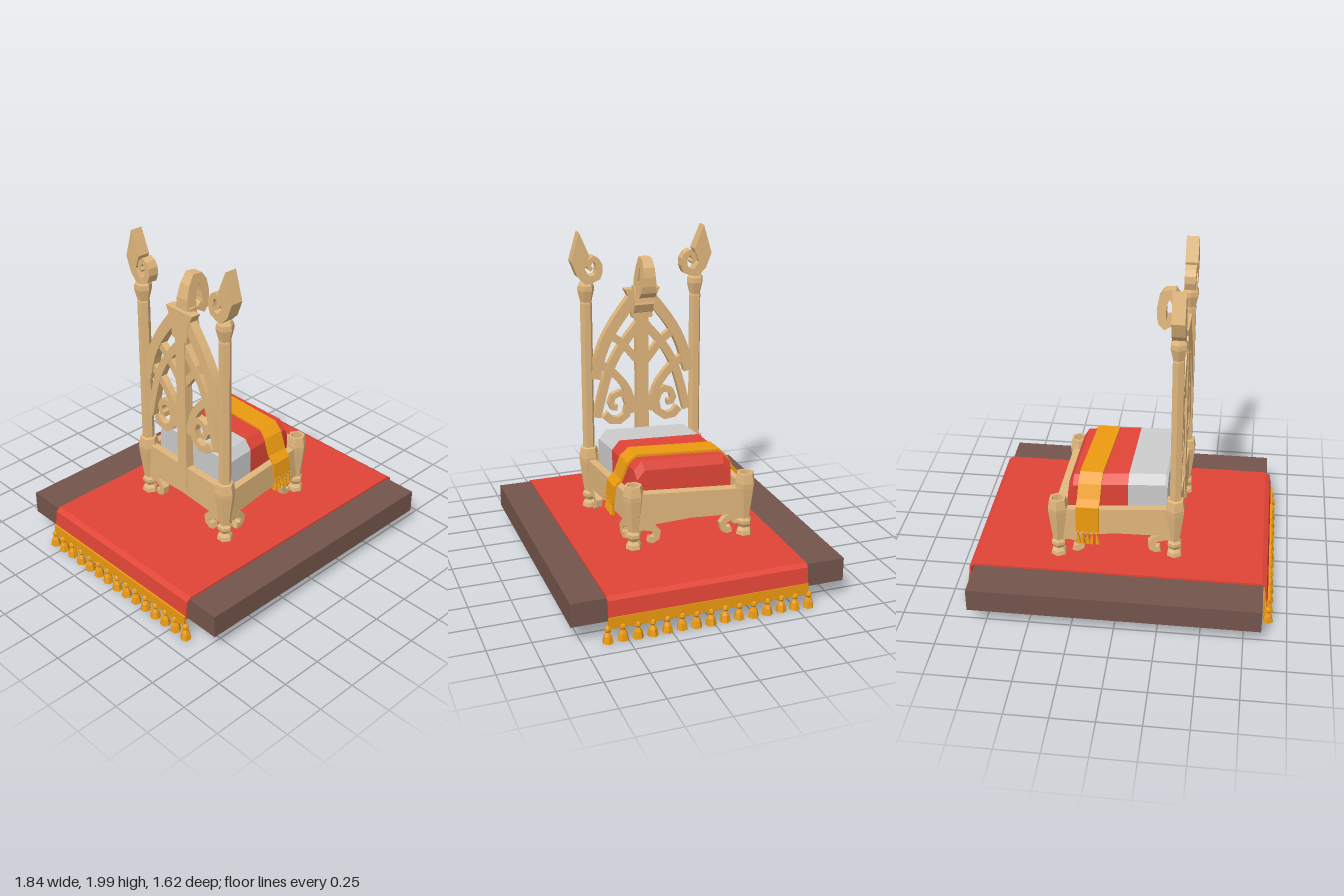
import * as THREE from 'three';

const mat = (color) => new THREE.MeshStandardMaterial({ color, flatShading: true, side: THREE.DoubleSide });
const wood = mat(0xe0b67c), red = mat(0xe04436), gold = mat(0xeb9a10), brown = mat(0x73544a), grey = mat(0xcccccc);

function add(parent, name, geo, material, x = 0, y = 0, z = 0) {
  const m = new THREE.Mesh(geo, material);
  m.name = name;
  m.position.set(x, y, z);
  parent.add(m);
  return m;
}

// flat plate with the given outline, centred on its depth
function plate(points, depth) {
  const s = new THREE.Shape(points.map(([x, y]) => new THREE.Vector2(x, y)));
  return new THREE.ExtrudeGeometry(s, { depth, bevelEnabled: false }).translate(0, 0, -depth / 2);
}

// band of even or tapering width along a smooth or straight path
function ribbon(path, w0, w1, depth, steps = 10) {
  let pts = path.map(([x, y]) => new THREE.Vector2(x, y));
  if (steps) pts = new THREE.SplineCurve(pts).getPoints(steps);
  const a = [], b = [];
  pts.forEach((p, i) => {
    const d = pts[Math.min(i + 1, pts.length - 1)].clone().sub(pts[Math.max(i - 1, 0)]).normalize();
    const w = THREE.MathUtils.lerp(w0, w1, i / (pts.length - 1)) / 2;
    a.push([p.x - d.y * w, p.y + d.x * w]);
    b.unshift([p.x + d.y * w, p.y - d.x * w]);
  });
  return plate([...a, ...b], depth);
}

const lathe = (profile, sides) =>
  new THREE.LatheGeometry(profile.map(([r, y]) => new THREE.Vector2(r, y)), sides);

// group whose local x runs from one floor point to another
function frame(parent, name, [x0, z0], [x1, z1]) {
  const g = new THREE.Group();
  g.name = name;
  g.position.set(x0, 0, z0);
  g.rotation.y = Math.atan2(z0 - z1, x1 - x0);
  g.userData.span = Math.hypot(x1 - x0, z1 - z0);
  parent.add(g);
  return g;
}

// block lofted along x: stations of [x, centre z, half width, top y, bottom y]
function loft(stations) {
  const pos = [], idx = [], n = 6;
  for (const [x, c, h, t, b] of stations) {
    for (const [z, y] of [[-h, b], [-h, t - 0.05], [-h + 0.045, t + 0.0], [h - 0.045, t + 0.015], [h, t - 0.04], [h, b]])
      pos.push(x - (z + c) * 0.04, y, z + c);
  }
  const rows = stations.length;
  for (let r = 0; r < rows - 1; r++)
    for (let i = 0; i < n; i++) {
      const a = r * n + i, b = r * n + (i + 1) % n;
      idx.push(a, b, a + n, b, b + n, a + n);
    }
  for (let i = 1; i < n - 1; i++) {
    idx.push(0, i + 1, i);
    const e = (rows - 1) * n;
    idx.push(e, e + i, e + i + 1);
  }
  const g = new THREE.BufferGeometry();
  g.setAttribute('position', new THREE.Float32BufferAttribute(pos, 3));
  g.setIndex(idx);
  g.computeVertexNormals();
  return g;
}

function buildCarpet(root) {
  add(root, 'platform', new THREE.BoxGeometry(1.7, 0.14, 1.62), brown, 0, 0.187, 0);
  const over = [[-0.878, 0.14], [-0.865, 0.25], [-0.84, 0.264], [0.85, 0.264], [0.872, 0.25], [0.885, 0.14]];
  add(root, 'carpet', ribbon(over, 0.012, 0.012, 1.18, 0), red, 0, 0, 0.02);
  for (const s of [-1, 1]) {
    add(root, 'carpetBorder', new THREE.BoxGeometry(0.018, 0.068, 1.18), gold, s * 0.884, 0.125, 0.02);
    for (let i = 0; i < 15; i++) {
      const z = -0.575 + i * 0.085;
      const t = add(root, 'tassel',
        lathe([[0, 0.1], [0.016, 0.09], [0.02, 0.075], [0.012, 0.062], [0.024, 0.04], [0.033, 0], [0, 0.004]], 6),
        gold, s * 0.888, 0.01 + 0.006 * Math.sin(i * 2.3) ** 2, z);
      t.rotation.y = i * 1.3;
    }
  }
}

function buildHeadboard(bed, a, b) {
  const g = frame(bed, 'headboard', a, b), mid = g.userData.span / 2;
  const inner = new THREE.Group();
  inner.name = 'tracery';
  inner.position.x = mid;
  g.add(inner);
  add(inner, 'centrePost', new THREE.BoxGeometry(0.075, 1.12, 0.055), wood, 0, 1.02, 0);
  add(inner, 'archPeak', plate([[-0.06, 1.46], [-0.075, 1.57], [-0.11, 1.64], [0.11, 1.64], [0.075, 1.57], [0.06, 1.46]], 0.06), wood);
  for (const s of [-1, 1]) {
    const m = (pts) => pts.map(([x, y]) => [x * s, y]);
    const strip = (name, pts, w0, w1, d) => add(inner, name, ribbon(m(pts), w0, w1, d), wood);
    strip('outerArch', [[0.3, 1.1], [0.25, 1.28], [0.17, 1.43], [0.04, 1.6]], 0.06, 0.07, 0.055);
    strip('upperBrace', [[0.21, 1.37], [0.12, 1.3], [0.02, 1.18]], 0.045, 0.045, 0.04);
    strip('innerArch', [[0.02, 1.42], [0.14, 1.27], [0.22, 1.11], [0.29, 0.85]], 0.05, 0.05, 0.045);
    strip('lowerArch', [[0.32, 1.22], [0.2, 1.14], [0.1, 1.02], [0.05, 0.86]], 0.05, 0.045, 0.04);
    strip('scroll', [[0.24, 0.86], [0.18, 0.81], [0.105, 0.84], [0.09, 0.93], [0.13, 0.99], [0.19, 0.97], [0.2, 0.91], [0.16, 0.9]].reverse(), 0.035, 0.05, 0.04);
    // flame finials above the posts
    add(inner, 'finialLeaf', plate(m([[0.35, 1.69], [0.4, 1.74], [0.435, 1.83], [0.385, 2], [0.325, 1.86], [0.355, 1.78], [0.3, 1.7]]), 0.075), wood);
    add(inner, 'finialCurl', ribbon(m([[0.34, 1.715], [0.275, 1.73], [0.265, 1.8], [0.3, 1.84], [0.33, 1.8], [0.31, 1.775]]), 0.045, 0.025, 0.065), wood);
  }
  // crest scroll curling forward, narrower toward the top
  const crest = ribbon([[-0.29, 1.56], [-0.295, 1.7], [-0.25, 1.82], [-0.2, 1.78], [-0.19, 1.68], [-0.21, 1.625], [-0.245, 1.66]], 0.07, 0.04, 2, 12);
  const p = crest.attributes.position;
  for (let i = 0; i < p.count; i++) p.setZ(i, p.getZ(i) * (0.055 - (p.getY(i) - 1.56) * 0.085));
  crest.computeVertexNormals();
  add(bed, 'crestScroll', crest, wood, 0, 0, 0.008);
  add(bed, 'crestKeystone', plate([[-0.32, 1.48], [-0.28, 1.5], [-0.255, 1.55], [-0.28, 1.66], [-0.32, 1.66]], 0.12), wood, 0, 0, 0.008);
}

function buildBed(root) {
  const bed = new THREE.Group();
  bed.name = 'bed';
  root.add(bed);
  const headR = [-0.315, -0.335], headL = [-0.33, 0.35], footR = [0.37, -0.395], footL = [0.34, 0.285];
  const foot = [[0, 0.262], [0.05, 0.265], [0.045, 0.295], [0.03, 0.315], [0.045, 0.34], [0.045, 0.36], [0.034, 0.375]];
  const legTop = [[0.06, 0.57], [0.062, 0.6], [0.052, 0.66]];
  // head posts and foot posts
  for (const [x, z] of [headR, headL])
    add(bed, 'headPost', lathe([...foot, ...legTop, [0.037, 0.665], [0.037, 1.57], [0.034, 1.58], [0.052, 1.65], [0.05, 1.68], [0.038, 1.7], [0, 1.7]], 6), wood, x, 0, z);
  for (const [x, z] of [footR, footL])
    add(bed, 'footPost', lathe([...foot, ...legTop, [0.036, 0.66], [0.034, 0.62], [0, 0.62]], 6), wood, x, 0, z);

  // rails between the posts, with curled brackets below
  const sides = [
    ['rightRail', headR, footR, 0.6, 0.59], ['leftRail', headL, footL, 0.59, 0.59],
    ['footBoard', footR, footL, 0.57, 0.61], ['headRail', headR, headL, 0.62, 0.62]];
  for (const [name, a, b, ya, yb] of sides) {
    const g = frame(bed, name, a, b), L = g.userData.span;
    add(g, 'board', plate([[0, 0.41], [L * 0.5, 0.425], [L, 0.405], [L, yb], [0, ya]], name === 'footBoard' ? 0.06 : 0.045), wood);
    for (const flip of [false, true]) {
      const pts = [[0.01, 0.4], [0.09, 0.395], [0.14, 0.355], [0.125, 0.31], [0.085, 0.315]];
      add(g, 'bracket', ribbon(pts.map(([x, y]) => [flip ? L - x : x, y]), 0.045, 0.035, 0.04, 6), wood);
    }
  }
  buildHeadboard(bed, headR, headL);

  // mattress with pale head end and red cover
  add(bed, 'sheet', loft([[-0.275, 0.01, 0.29, 0.755, 0.45], [-0.26, 0.01, 0.292, 0.765, 0.45], [-0.045, -0.01, 0.292, 0.768, 0.45]]), grey);
  add(bed, 'cover', loft([[-0.045, -0.01, 0.295, 0.77, 0.45], [0.2, -0.03, 0.295, 0.76, 0.45], [0.275, -0.038, 0.293, 0.757, 0.45], [0.305, -0.04, 0.285, 0.705, 0.45], [0.308, -0.04, 0.285, 0.5, 0.45]]), red);

  // throw draped across the bed, over both rails
  const drape = [[0.36, 0.5], [0.35, 0.6], [0.31, 0.64], [0.272, 0.74], [0.225, 0.783], [-0.275, 0.768], [-0.325, 0.72], [-0.365, 0.64], [-0.405, 0.61], [-0.41, 0.44]];
  const shear = (z) => 0.162 - z * 0.08;
  const throwGeo = ribbon(drape, 0.014, 0.014, 0.135, 0).rotateY(-Math.PI / 2);
  const p = throwGeo.attributes.position;
  for (let i = 0; i < p.count; i++) p.setX(i, p.getX(i) + shear(p.getZ(i)));
  throwGeo.computeVertexNormals();
  add(bed, 'throw', throwGeo, gold);
  for (const [z, y] of [[0.362, 0.47], [-0.41, 0.405]])
    for (let i = 0; i < 5; i++) {
      const t = add(bed, 'throwFringe', lathe([[0, 0.04], [0.01, 0.03], [0.006, 0.015], [0.016, -0.045], [0, -0.045]], 5), gold,
        shear(z) - 0.056 + i * 0.028, y, z);
      t.rotation.z = (i % 2 ? 1 : -1) * 0.08;
    }
}

export function createModel() {
  const root = new THREE.Group();
  root.name = 'canopylessBedOnDais';
  buildCarpet(root);
  buildBed(root);
  return root;
}
